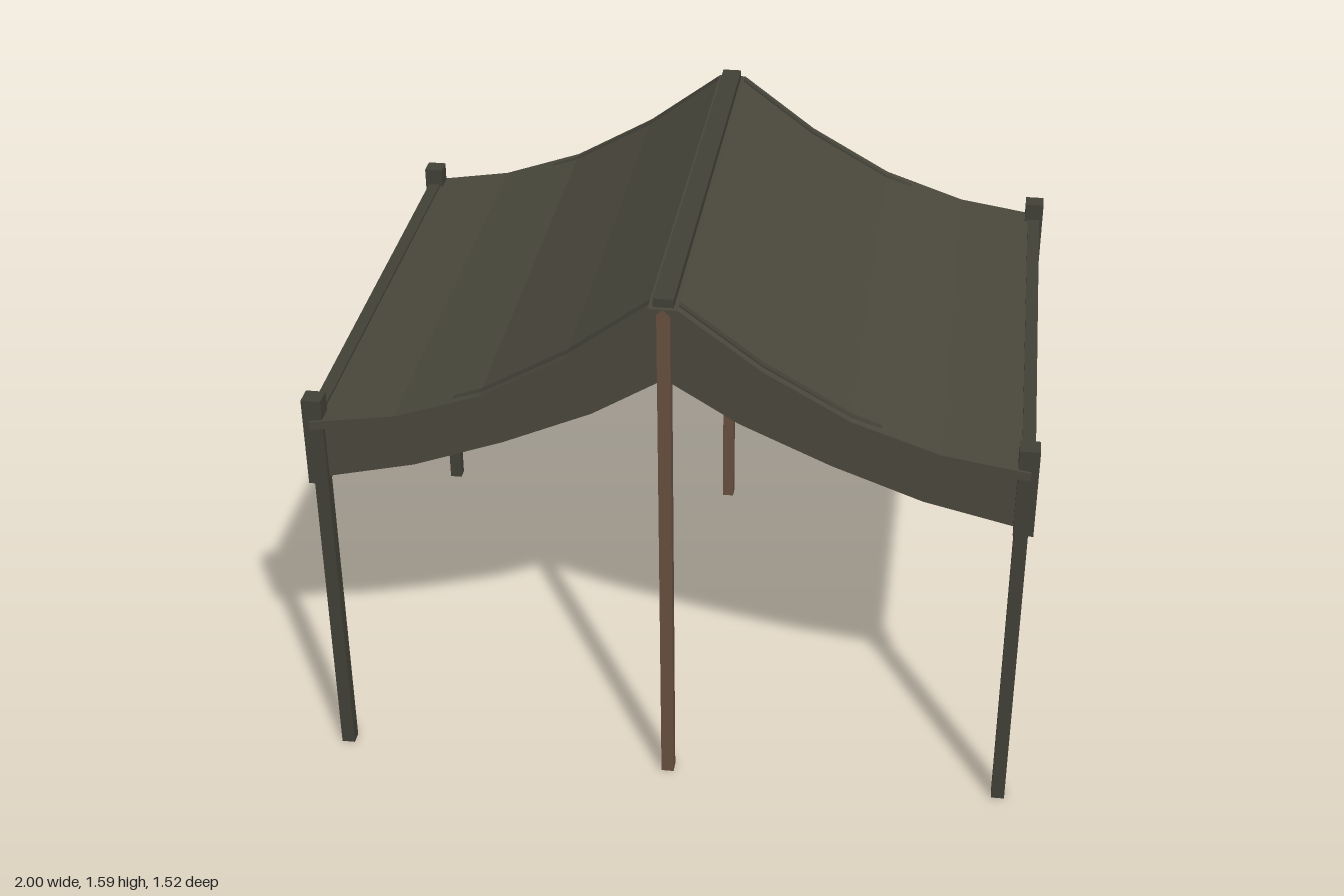
import * as THREE from 'three';

const canvas = new THREE.MeshStandardMaterial({ color: 0x4a483c, flatShading: true, side: THREE.DoubleSide });
const metal = new THREE.MeshStandardMaterial({ color: 0x424137, flatShading: true });
const wood = new THREE.MeshStandardMaterial({ color: 0x664f40, flatShading: true });

// Sagging slope of one roof half, from the ridge out to the eave
const roofTop = [[0.04, 1.56], [0.26, 1.395], [0.5, 1.258], [0.74, 1.175], [0.98, 1.137]];
const roofBottom = [[0.0, 1.56], [0.02, 1.54], [0.25, 1.375], [0.49, 1.238], [0.735, 1.153], [0.98, 1.112]];
const valanceBottom = [[0.0, 1.335], [0.2, 1.212], [0.45, 1.1], [0.7, 1.007], [0.97, 0.943]];

export function createModel() {
  const group = new THREE.Group();

  const add = (name, geometry, material, x = 0, y = 0, z = 0) => {
    const mesh = new THREE.Mesh(geometry, material);
    mesh.name = name;
    mesh.position.set(x, y, z);
    group.add(mesh);
  };
  const box = (name, material, w, y0, y1, d, x, z) =>
    add(name, new THREE.BoxGeometry(w, y1 - y0, d), material, x, (y0 + y1) / 2, z);

  // Closed outline between an upper and a lower line, extruded along z and centred there
  const slab = (name, upper, lower, depth, side, z, material) => {
    const points = [...upper, ...[...lower].reverse()].map(([x, y]) => new THREE.Vector2(x * side, y));
    const geometry = new THREE.ExtrudeGeometry(new THREE.Shape(points), { depth, bevelEnabled: false });
    geometry.translate(0, 0, -depth / 2);
    add(name, geometry, material, 0, 0, z);
  };

  for (const side of [-1, 1]) {
    slab('roofSheet', roofTop, roofBottom, 1.525, side, 0, canvas);

    for (const end of [-1, 1]) {
      // Gable valance hanging under the roof edge
      slab('gableValance', roofBottom, valanceBottom, 0.014, side, end * 0.73, canvas);
      // Curved edge rail, standing slightly proud near the ridge
      const proud = [0.006, 0.006, 0.002, -0.004, -0.004];
      const railTop = roofTop.map(([x, y], i) => [x, y + proud[i]]);
      const railBottom = roofTop.map(([x, y]) => [x, y - 0.035]);
      slab('edgeRail', railTop, railBottom, 0.018, side, end * 0.73, metal);

      // Corner post and its sleeve
      box('cornerPost', metal, 0.038, 0, 1.15, 0.038, side * 0.967, end * 0.728);
      box('postSleeve', metal, 0.055, 0.932, 1.2, 0.055, side * 0.9725, end * 0.728);
    }

    // Eave rail and the straight valance below it
    box('eaveRail', metal, 0.036, 1.11, 1.148, 1.46, side * 0.972, 0);
    box('eaveValance', canvas, 0.014, 0.943, 1.12, 1.46, side * 0.972, 0);
  }

  // Ridge cap with a wooden pole at each end
  box('ridgeCap', metal, 0.056, 1.55, 1.585, 1.5, 0, 0);
  for (const end of [-1, 1]) box('ridgePole', wood, 0.036, 0, 1.555, 0.036, 0, end * 0.735);

  return group;
}
